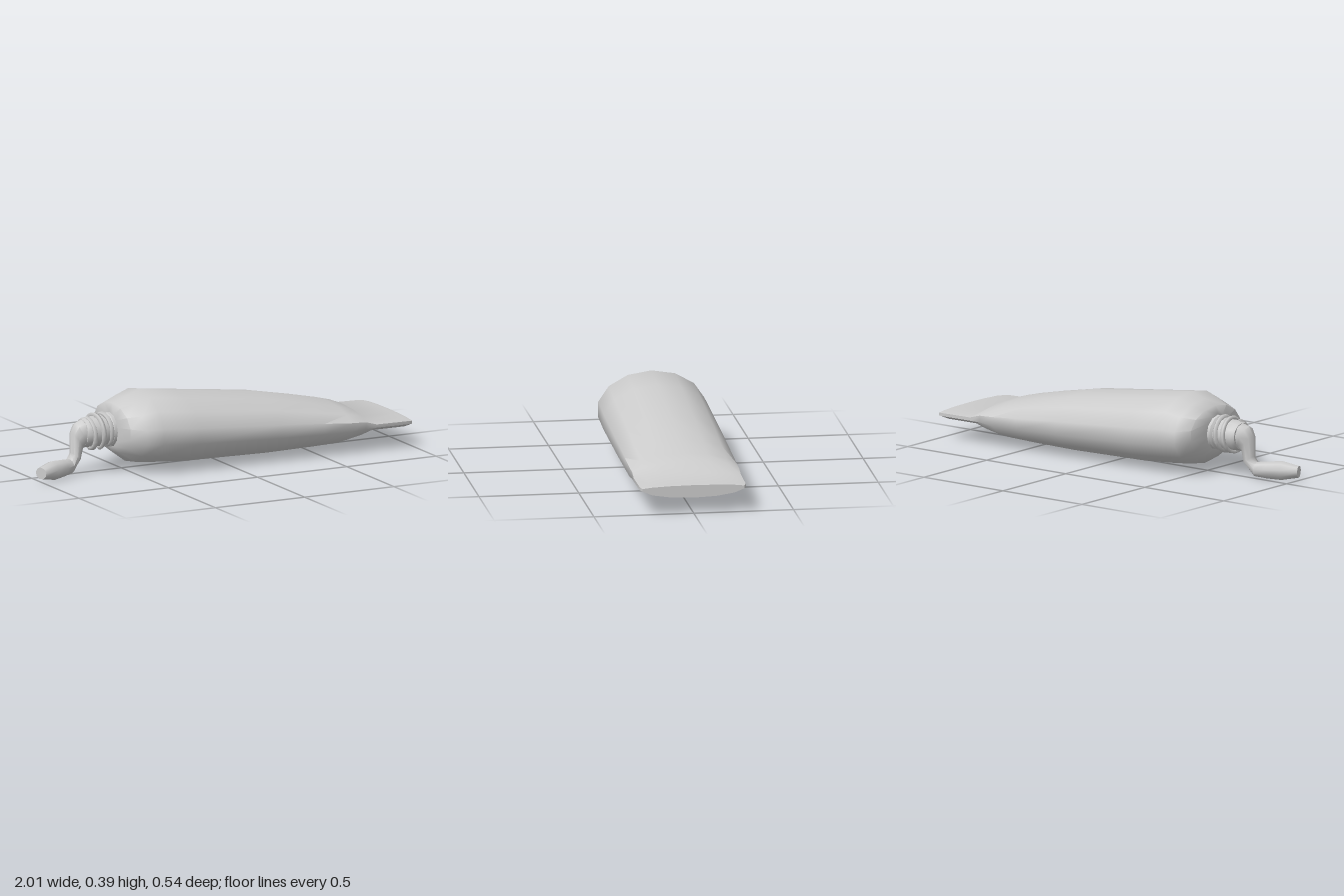
import * as THREE from 'three';
import { toCreasedNormals } from 'three/addons/utils/BufferGeometryUtils.js';

const material = new THREE.MeshStandardMaterial({ color: 0xcccccc });

// Lofts closed rings along a row list. Each row holds the upper and lower point of
// a section in the xy plane, the widest point's share of the way from lower to upper,
// the centre z, the half width and a slant of the section in x.
function loft(rows, sides, crease) {
  const pos = [], index = [];
  for (const [ax, ay, bx, by, share, zc, hz, slant = 0] of rows) {
    const mx = bx + (ax - bx) * share, my = by + (ay - by) * share;
    for (let j = 0; j < sides; j++) {
      const a = (j / sides) * Math.PI * 2, c = Math.cos(a), s = Math.sin(a), k = Math.abs(c);
      const ex = c > 0 ? ax : bx, ey = c > 0 ? ay : by;
      pos.push(mx + (ex - mx) * k + slant * s, my + (ey - my) * k, zc + hz * s);
    }
  }
  for (let i = 0; i < rows.length - 1; i++) {
    for (let j = 0; j < sides; j++) {
      const a = i * sides + j, b = i * sides + (j + 1) % sides;
      index.push(a, b, a + sides, b, b + sides, a + sides);
    }
  }
  // end caps
  const last = (rows.length - 1) * sides;
  for (let j = 1; j < sides - 1; j++) {
    index.push(0, j + 1, j, last, last + j, last + j + 1);
  }
  const geo = new THREE.BufferGeometry();
  geo.setAttribute('position', new THREE.Float32BufferAttribute(pos, 3));
  geo.setIndex(index);
  return toCreasedNormals(geo, crease);
}

function add(group, name, geometry) {
  const mesh = new THREE.Mesh(geometry, material);
  mesh.name = name;
  group.add(mesh);
  return mesh;
}

export function createModel() {
  const group = new THREE.Group();
  group.name = 'squeezeTube';

  // body: round shoulder, full belly, flattening to the crimped tail
  const body = [
    [-0.565, 0.30, 0.12, 0.5, 0.09],
    [-0.55, 0.34, 0.09, 0.5, 0.20],
    [-0.48, 0.365, 0.038, 0.49, 0.245],
    [-0.40, 0.393, 0.03, 0.47, 0.273],
    [-0.20, 0.368, 0.016, 0.48, 0.276],
    [0.25, 0.312, 0.01, 0.50, 0.276],
    [0.50, 0.26, 0.015, 0.55, 0.276],
    [0.65, 0.225, 0.021, 0.60, 0.276],
    [0.73, 0.202, 0.045, 0.64, 0.275],
    [0.79, 0.155, 0.08, 0.75, 0.275],
    [0.97, 0.15, 0.079, 0.78, 0.272],
    [0.995, 0.146, 0.082, 0.78, 0.262],
  ].map(([x, top, bottom, share, hz]) => [x, top, x, bottom, share, 0, hz]);
  add(group, 'tubeBody', loft(body, 14, 1.0));

  // neck: tapered nozzle with a collar at the shoulder
  const profile = [[0, -0.72], [0.068, -0.72], [0.076, -0.70], [0.08, -0.62], [0.076, -0.59],
    [0.088, -0.58], [0.088, -0.55]].map(([r, x]) => new THREE.Vector2(r, x));
  const neck = add(group, 'neck', toCreasedNormals(new THREE.LatheGeometry(profile, 12), 0.8));
  neck.rotation.z = -Math.PI / 2;
  neck.position.y = 0.207;

  // screw thread around the neck
  const thread = [];
  for (let i = 0; i <= 40; i++) {
    const t = i / 40, a = t * Math.PI * 2 * 2.5;
    const r = 0.070 + 0.012 * Math.min(1, t * 8, (1 - t) * 8);
    thread.push(new THREE.Vector3(-0.695 + 0.115 * t, 0.207 + r * Math.cos(a), r * Math.sin(a)));
  }
  add(group, 'screwThread', new THREE.TubeGeometry(new THREE.CatmullRomCurve3(thread), 50, 0.013, 5));

  // squeezed paste, from the resting tip up into the nozzle
  add(group, 'paste', loft([
    [-1.0, 0.078, -1.0, 0.018, 0.5, 0.098, 0.032, 0.013],
    [-0.92, 0.097, -0.92, 0.001, 0.5, 0.068, 0.045, 0.016],
    [-0.85, 0.09, -0.85, 0.005, 0.5, 0.038, 0.042, 0.014],
    [-0.80, 0.085, -0.79, 0.012, 0.5, 0.016, 0.036, 0.008],
    [-0.785, 0.11, -0.735, 0.075, 0.5, 0.006, 0.036],
    [-0.785, 0.215, -0.722, 0.13, 0.5, 0.005, 0.043],
    [-0.76, 0.26, -0.71, 0.135, 0.5, 0.004, 0.055],
    [-0.71, 0.278, -0.70, 0.136, 0.5, 0, 0.066],
  ], 9, 0.9));

  return group;
}
